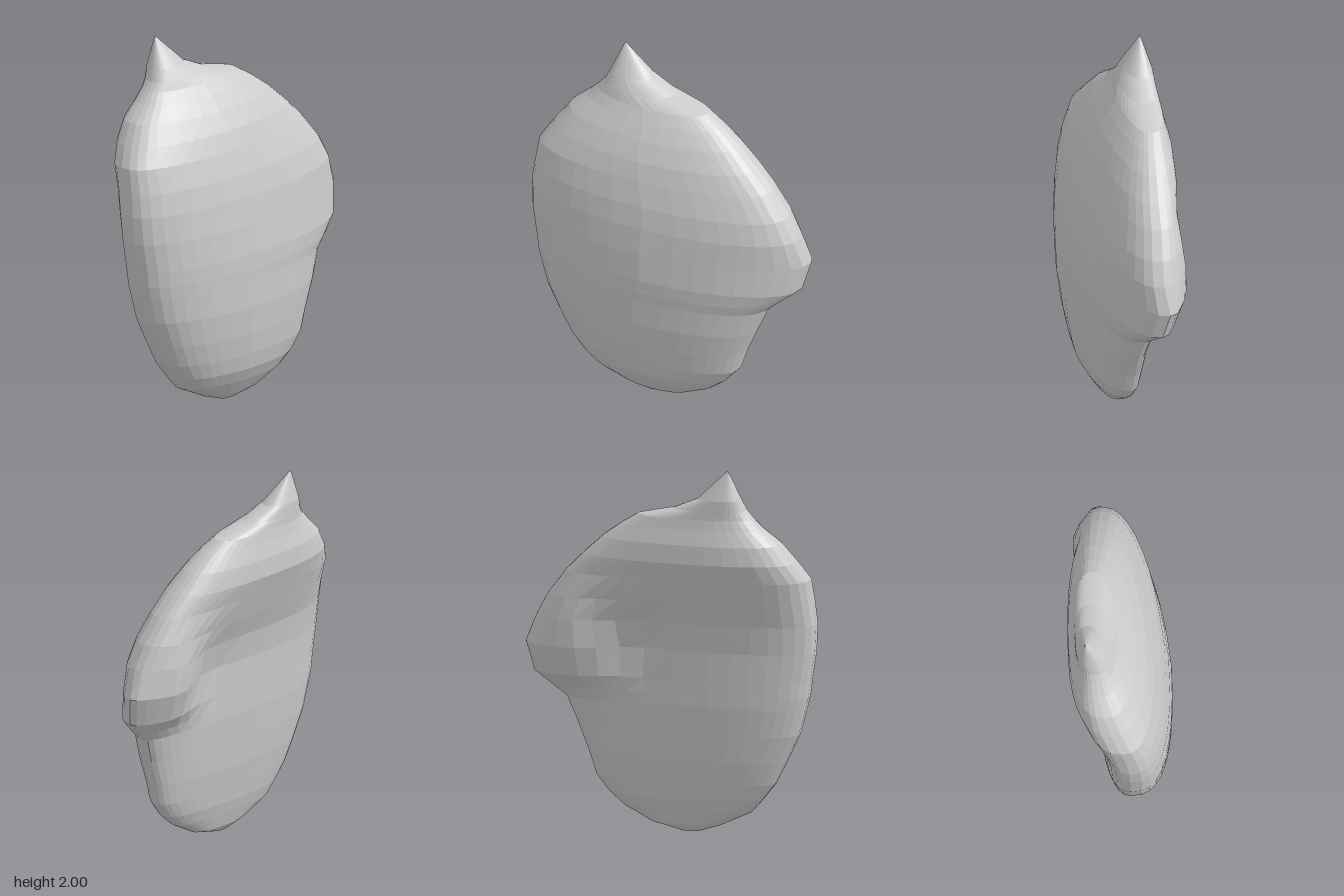
import * as THREE from 'three';

// Horizontal cross-sections of the main body, bottom to top:
// [y, left edge x, right edge x, left edge z, right edge z, front z, back z]
const SECTIONS = [
  [0.00, -0.13, -0.03, 0.06, 0.06, 0.085, 0.035],
  [0.04, -0.25, 0.13, 0.06, 0.05, 0.13, 0.00],
  [0.12, -0.42, 0.28, 0.06, 0.04, 0.185, -0.025],
  [0.19, -0.48, 0.36, 0.06, 0.03, 0.222, -0.045],
  [0.28, -0.55, 0.43, 0.06, 0.02, 0.243, -0.06],
  [0.40, -0.61, 0.465, 0.06, 0.01, 0.262, -0.08],
  [0.55, -0.68, 0.52, 0.06, 0.00, 0.275, -0.095],
  [0.70, -0.72, 0.56, 0.06, -0.015, 0.275, -0.11],
  [0.76, -0.735, 0.605, 0.06, -0.025, 0.275, -0.113],
  [0.84, -0.745, 0.65, 0.06, -0.04, 0.272, -0.118],
  [1.00, -0.77, 0.655, 0.06, -0.06, 0.257, -0.125],
  [1.15, -0.78, 0.68, 0.055, -0.08, 0.235, -0.15],
  [1.27, -0.77, 0.645, 0.04, -0.10, 0.21, -0.195],
  [1.40, -0.76, 0.55, 0.01, -0.115, 0.172, -0.24],
  [1.50, -0.70, 0.45, -0.04, -0.12, 0.135, -0.275],
  [1.60, -0.63, 0.34, -0.08, -0.13, 0.08, -0.27],
  [1.68, -0.54, 0.23, -0.11, -0.14, 0.025, -0.25],
  [1.735, -0.49, 0.14, -0.12, -0.15, -0.015, -0.24],
  [1.78, -0.455, -0.06, -0.13, -0.16, -0.04, -0.235],
  [1.84, -0.43, -0.20, -0.15, -0.17, -0.075, -0.23],
  [2.00, -0.371, -0.369, -0.18, -0.18, -0.179, -0.181],
];
const SIDES = 36;

const signedPow = (v, p) => Math.sign(v) * Math.abs(v) ** p;
const bell = (v, center, width, power = 2) => Math.exp(-(Math.abs((v - center) / width) ** power));

function buildBody() {
  const pos = [], index = [];
  for (const [y, xL, xR, zL, zR, front, back] of SECTIONS) {
    const mid = (zL + zR) / 2;
    const hook = 0.13 * bell(y, 0.95, 0.18);
    for (let i = 0; i < SIDES; i++) {
      const a = (i / SIDES) * Math.PI * 2;
      const u = signedPow(Math.cos(a), 0.79), s = Math.sin(a);
      // The hook only pulls out the outer right edge and bends it backwards
      const pull = hook * Math.max(u, 0) ** 5;
      const x = (xL + xR) / 2 + (u * (xR - xL)) / 2 + pull;
      const rim = mid + ((zR - zL) * u) / 2;
      let z = rim - pull * 0.5;
      if (s >= 0) {
        // The front thins towards the right edge
        const taper = 1 - 0.22 * Math.max(u, 0);
        z += s ** 0.78 * ((front - mid) * taper + (mid - rim) * 0.3);
      } else {
        // Flatten the tilt on the back, raise the curled lip beside a shallow hollow
        const lip = 0.175 * bell(x, 0.57, 0.25) * (y < 1.06 ? bell(y, 1.06, 0.27, 4) : bell(y, 1.06, 0.28));
        const hollow = 0.03 * bell(x, 0.2, 0.2) * bell(y, 0.98, 0.2);
        z += (-s) ** 0.85 * (back - mid + (mid - rim) * 0.8 - lip + hollow);
      }
      pos.push(x, y, z);
    }
  }
  // Skin between neighbouring rings
  const rows = SECTIONS.length;
  for (let r = 0; r < rows - 1; r++) {
    for (let i = 0; i < SIDES; i++) {
      const a = r * SIDES + i, b = r * SIDES + ((i + 1) % SIDES);
      index.push(a, a + SIDES, b, b, a + SIDES, b + SIDES);
    }
  }
  // Close the bottom and the tip
  const last = (rows - 1) * SIDES;
  for (let i = 1; i < SIDES - 1; i++) {
    index.push(0, i, i + 1, last, last + i + 1, last + i);
  }
  const geo = new THREE.BufferGeometry();
  geo.setAttribute('position', new THREE.Float32BufferAttribute(pos, 3));
  geo.setIndex(index);
  geo.computeVertexNormals();
  return geo;
}

export function createModel() {
  const group = new THREE.Group();
  const material = new THREE.MeshStandardMaterial({ color: 0xcccccc, flatShading: true });
  const body = new THREE.Mesh(buildBody(), material);
  body.name = 'curledBodyWithPointedTip';
  group.add(body);
  return group;
}
